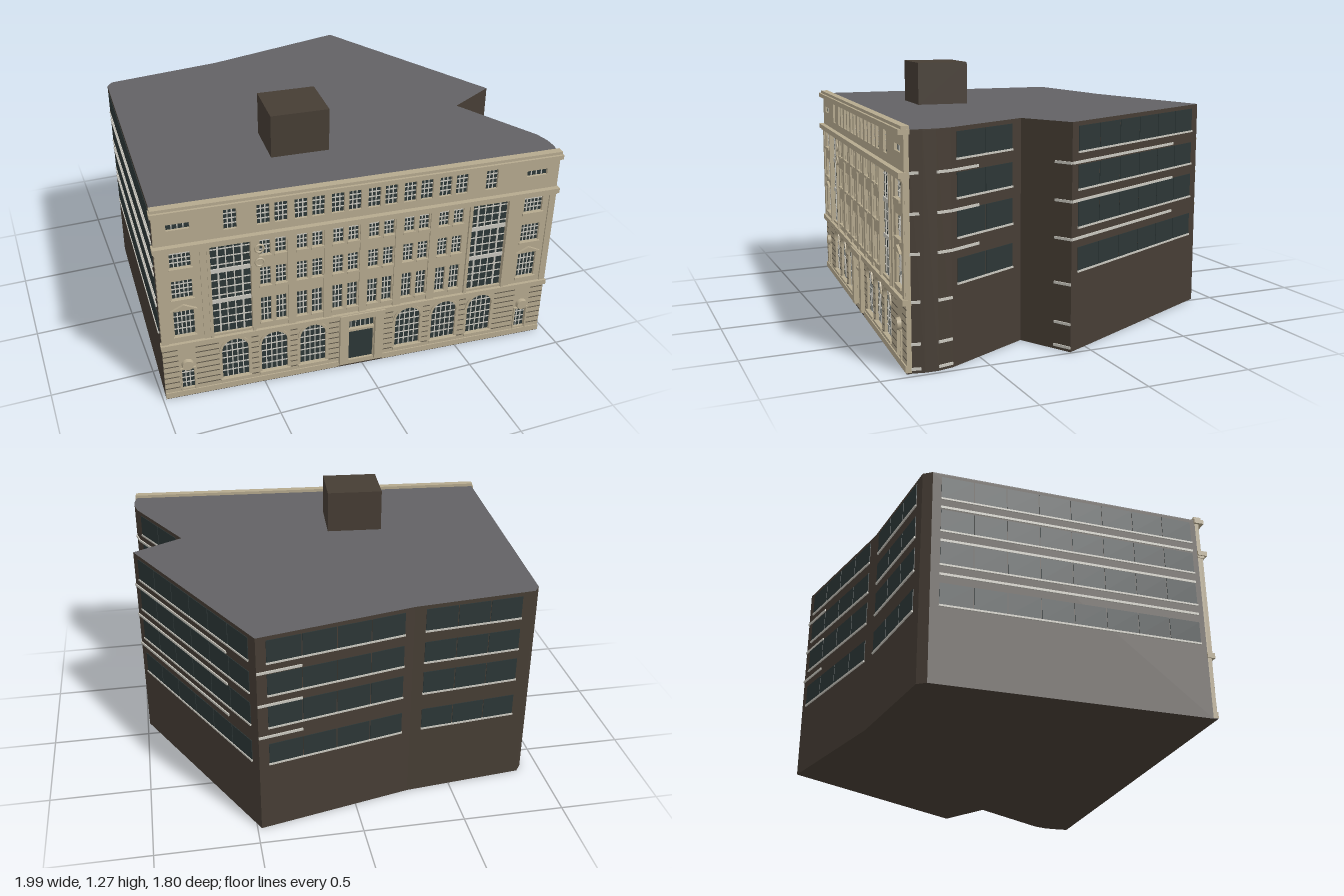
import * as THREE from 'three';
import { mergeGeometries } from 'three/addons/utils/BufferGeometryUtils.js';

const material = (name, color) => new THREE.MeshStandardMaterial({ name, color });

export function createModel() {
  const stone = material('pale stone', 0xb5a98e);
  const brick = material('dark brown wall', 0x463d34);
  const roofGrey = material('roof grey', 0x626164);
  const glass = material('dark glass', 0x2c3636);
  const light = material('light trim', 0xc8c6bd);
  const groove = material('groove shadow', 0x625b4d);

  const model = new THREE.Group();
  model.name = 'officeBuilding';

  // Pieces sharing a name are gathered and merged into one mesh
  const collector = (group) => {
    const parts = new Map();
    return {
      add(name, mat, geo) {
        if (!parts.has(name)) parts.set(name, { mat, geos: [] });
        parts.get(name).geos.push(geo.index ? geo.toNonIndexed() : geo);
      },
      box(name, mat, x0, x1, y0, y1, z0, z1) {
        this.add(name, mat, new THREE.BoxGeometry(x1 - x0, y1 - y0, z1 - z0)
          .translate((x0 + x1) / 2, (y0 + y1) / 2, (z0 + z1) / 2));
      },
      finish() {
        for (const [name, { mat, geos }] of parts) {
          const mesh = new THREE.Mesh(mergeGeometries(geos), mat);
          mesh.name = name;
          group.add(mesh);
        }
      },
    };
  };

  // ---------- Main block on an irregular plot ----------
  const plan = [[-0.983, 0.70], [0.962, 0.85], [0.975, 0.79], [0.976, 0.73], [0.96, 0.66],
    [0.74, 0.235], [0.99, 0.10], [0.48, -0.895], [-0.28, -0.73], [-0.88, -0.67], [-0.91, -0.63]];
  const footprint = new THREE.Shape(plan.map(([x, z]) => new THREE.Vector2(x, -z)));
  const slab = (y, depth) => new THREE.ExtrudeGeometry(footprint, { depth, bevelEnabled: false })
    .rotateX(-Math.PI / 2).translate(0, y, 0);
  const block = new THREE.Mesh(slab(0, 1.045), brick);
  block.name = 'mainBlock';
  const roof = new THREE.Mesh(slab(1.045, 0.005), [roofGrey, brick]);
  roof.name = 'roof';
  const penthouse = new THREE.Mesh(new THREE.BoxGeometry(0.285, 0.217, 0.262), brick);
  penthouse.name = 'roofPlantRoom';
  penthouse.position.set(-0.186, 1.157, 0.31);
  penthouse.rotation.y = -0.0764;
  model.add(block, roof, penthouse);

  // ---------- Side and rear walls ----------
  const sides = collector(model);
  // Plate on wall edge i between fractions t0 and t1 of its length
  const plate = (name, mat, i, t0, t1, y0, y1, out) => {
    const [ax, az] = plan[i], [bx, bz] = plan[(i + 1) % plan.length];
    const dx = bx - ax, dz = bz - az, t = (t0 + t1) / 2;
    sides.add(name, mat, new THREE.BoxGeometry(Math.hypot(dx, dz) * (t1 - t0), y1 - y0, out * 2)
      .rotateY(-Math.atan2(dz, dx)).translate(ax + dx * t, (y0 + y1) / 2, az + dz * t));
  };
  const rows = [[0.37, 0.48], [0.572, 0.69], [0.745, 0.855], [0.915, 1.03]];
  const upperBands = [0.523, 0.695, 0.868], lowerBands = [0.02, 0.13, 0.315];
  const glazed = [
    { edge: 4, from: 0.07, to: 0.87, panes: 2 },
    { edge: 6, from: 0.04, to: 0.95, panes: 6 },
    { edge: 7, from: 0.06, to: 0.94, panes: 4 },
    { edge: 8, from: 0.09, to: 0.90, panes: 3 },
    { edge: 10, from: 0.03, to: 0.98, panes: 8 },
  ];
  for (const { edge, from, to, panes } of glazed) {
    for (const [y0, y1] of rows) {
      const step = (to - from) / panes;
      for (let k = 0; k < panes; k++) {
        const t = from + k * step;
        plate('sideWindows', glass, edge, t + step * 0.015, t + step * 0.985, y0, y1, 0.003);
      }
      plate('sideSills', light, edge, from, to, y0 - 0.006, y0 + 0.003, 0.007);
    }
  }
  // Light string courses: [edge, start, end, also on the lower storeys]
  const courses = [[1, 0, 0.7, true], [3, 0, 1, true], [4, 0, 0.37, false], [5, 0.68, 1, true],
    [6, 0, 0.78, false], [7, 0, 0.28, false], [10, 0.03, 0.98, false]];
  for (const [edge, t0, t1, low] of courses) {
    for (const y of low ? [...lowerBands, ...upperBands] : upperBands) {
      plate('sideCourses', light, edge, t0, t1, y - 0.006, y + 0.006, 0.006);
    }
  }
  sides.finish();

  // ---------- Stone front, local z = 0 is its face ----------
  const front = new THREE.Group();
  front.name = 'stoneFront';
  front.position.set(-0.01, 0, 0.795);
  front.rotation.y = -0.0764;
  model.add(front);
  const f = collector(front);
  const W = 0.977, T = 0.022;
  const wall = new THREE.Shape([[-W, 0.005], [W, 0.005], [W, 1.04], [-W, 1.04]]
    .map(([x, y]) => new THREE.Vector2(x, y)));

  // Opening cut in the wall, glazed and divided by light bars
  const opening = (x, w, y0, y1, cols, lines, arched = false) => {
    const hole = new THREE.Path(), a = x - w / 2, b = x + w / 2, r = w / 2;
    hole.moveTo(a, y0);
    hole.lineTo(b, y0);
    if (arched) hole.absarc(x, y1 - r, r, 0, Math.PI, false);
    else hole.lineTo(b, y1).lineTo(a, y1);
    hole.lineTo(a, y0);
    wall.holes.push(hole);
    f.box('frontGlass', glass, a, b, y0, y1, -0.018, -0.013);
    const bar = 0.0025;
    for (let k = 1; k < cols; k++) {
      const u = a + (w * k) / cols;
      const top = arched ? y1 - r + Math.sqrt(r * r - (u - x) ** 2) : y1;
      f.box('glazingBars', light, u - bar, u + bar, y0, top, -0.014, -0.010);
    }
    for (let k = 1; k < lines; k++) {
      const v = y0 + ((y1 - y0) * k) / lines;
      const half = arched && v > y1 - r ? Math.sqrt(r * r - (v - y1 + r) ** 2) : r;
      f.box('glazingBars', light, x - half, x + half, v - bar, v + bar, -0.014, -0.010);
    }
  };
  const surround = (x, w, y0, y1, t, out) => {
    for (const s of [-1, 1]) {
      const c = x + s * (w + t) / 2;
      f.box('windowSurrounds', stone, c - t / 2, c + t / 2, y0, y1 + t, -0.002, out);
    }
    f.box('windowSurrounds', stone, x - w / 2, x + w / 2, y1, y1 + t, -0.002, out);
  };

  const floors = [[0.365, 0.505], [0.575, 0.675], [0.745, 0.84]];
  // Twelve central windows in pairs on each floor, with pilasters between
  for (let p = 0; p < 6; p++) {
    const c = (p - 2.5) * 0.175;
    for (const s of [-1, 1]) {
      opening(c + s * 0.041, 0.06, 0.91, 1.013, 3, 4);
      for (const [y0, y1] of floors) {
        opening(c + s * 0.037, 0.05, y0, y1, 3, 4);
        f.box('windowSills', stone, c + s * 0.037 - 0.03, c + s * 0.037 + 0.03, y0 - 0.012, y0, -0.01, 0.008);
      }
    }
    if (p) f.box('pilasters', stone, c - 0.107, c - 0.068, 0.33, 0.845, -0.002, 0.008);
  }
  for (const s of [-1, 1]) {
    // Tall three-storey windows
    opening(s * 0.637, 0.187, 0.34, 0.848, 5, 12);
    surround(s * 0.637, 0.187, 0.33, 0.848, 0.015, 0.012);
    for (const y of [0.52, 0.69]) {
      f.box('tallWindowSpandrels', light, s * 0.637 - 0.093, s * 0.637 + 0.093, y - 0.01, y + 0.01, -0.014, -0.006);
    }
    for (const k of [-0.3, 0.3]) {
      const u = s * 0.637 + k * 0.187;
      f.box('tallWindowMullions', light, u - 0.004, u + 0.004, 0.34, 0.848, -0.014, -0.008);
    }
    // End bays
    opening(s * 0.63, 0.06, 0.91, 1.013, 3, 4);
    opening(s * 0.864, 0.105, 0.947, 0.978, 4, 1);
    for (const [y0, y1] of floors) {
      opening(s * 0.864, 0.096, y0, y1, 5, 4);
      f.box('windowSills', stone, s * 0.864 - 0.055, s * 0.864 + 0.055, y0 - 0.012, y0, -0.01, 0.01);
    }
    const gable = new THREE.Shape();
    gable.moveTo(-0.062, 0).lineTo(0.062, 0).lineTo(0, 0.03);
    f.add('pediments', stone, new THREE.ExtrudeGeometry(gable, { depth: 0.014, bevelEnabled: false })
      .translate(s * 0.864, 0.515, -0.002));
    for (const u of [0.76, 0.96]) {
      f.box('pilasters', stone, s * u - 0.016, s * u + 0.016, 0.33, 0.845, -0.002, 0.007);
    }
    // Small ground-floor window with a round ornament
    opening(s * 0.864, 0.06, 0.045, 0.165, 3, 4);
    surround(s * 0.864, 0.06, 0.04, 0.165, 0.008, 0.008);
    f.add('roundOrnaments', stone, new THREE.CylinderGeometry(0.026, 0.03, 0.02, 20)
      .rotateX(Math.PI / 2).translate(s * 0.864, 0.193, 0.008));
    // Arched ground-floor windows
    for (const u of [0.245, 0.438, 0.631]) {
      const x = s * u;
      opening(x, 0.13, 0.063, 0.295, 5, 6, true);
      const ring = new THREE.Shape();
      ring.absarc(0, 0, 0.077, 0, Math.PI, false);
      ring.absarc(0, 0, 0.065, Math.PI, 0, true);
      f.add('archTrim', stone, new THREE.ExtrudeGeometry(ring, { depth: 0.008, bevelEnabled: false })
        .translate(x, 0.23, -0.002));
      f.box('windowSills', stone, x - 0.075, x + 0.075, 0.05, 0.063, -0.01, 0.01);
    }
  }

  // Entrance with a projecting surround
  opening(0, 0.132, 0.03, 0.295, 1, 1);
  f.box('entranceLintel', stone, -0.066, 0.066, 0.212, 0.225, -0.014, 0.006);
  for (let k = -2; k <= 2; k++) {
    f.box('glazingBars', light, k * 0.024 - 0.002, k * 0.024 + 0.002, 0.225, 0.295, -0.014, -0.01);
  }
  for (const s of [-1, 1]) {
    f.box('entrancePiers', stone, Math.min(s * 0.068, s * 0.112), Math.max(s * 0.068, s * 0.112), 0.025, 0.295, -0.002, 0.02);
  }
  f.box('entranceHood', stone, -0.116, 0.116, 0.293, 0.325, -0.002, 0.025);

  // Rustication grooves, broken at each opening
  const gaps = [-0.864, -0.631, -0.438, -0.245, 0, 0.245, 0.438, 0.631, 0.864];
  const halfGap = (x) => (x === 0 ? 0.113 : Math.abs(x) > 0.8 ? 0.042 : 0.079);
  for (let y = 0.06; y < 0.29; y += 0.032) {
    let start = -W;
    for (const g of [...gaps, null]) {
      const end = g === null ? W : g - halfGap(g);
      f.box('rusticationGrooves', groove, start, end, y - 0.0025, y + 0.0025, -0.001, 0.001);
      if (g !== null) start = g + halfGap(g);
    }
  }

  // Plinth, string courses and crowning cornice
  f.box('baseStrip', brick, -W, W, 0, 0.006, -T, 0.001);
  f.box('plinth', stone, -W, -0.115, 0.006, 0.036, -0.002, 0.006);
  f.box('plinth', stone, 0.115, W, 0.006, 0.036, -0.002, 0.006);
  f.box('lowerCourse', stone, -W - 0.006, W + 0.004, 0.302, 0.328, -T, 0.016);
  f.box('upperCourse', stone, -W - 0.01, W + 0.004, 0.848, 0.872, -T, 0.026);
  f.box('upperCourse', stone, -W - 0.004, W + 0.002, 0.836, 0.848, -T, 0.014);
  f.box('cornice', stone, -W - 0.01, W + 0.004, 1.03, 1.052, -0.025, 0.024);
  f.box('cornice', stone, -W - 0.005, W + 0.002, 1.052, 1.066, -0.025, 0.012);

  // Ring ornaments on the left-hand pilaster
  for (const y of [0.79, 0.715]) {
    f.add('ringOrnaments', stone, new THREE.TorusGeometry(0.02, 0.005, 8, 20).translate(-0.503, y, 0.012));
  }

  f.add('frontWall', stone, new THREE.ExtrudeGeometry(wall, { depth: T, bevelEnabled: false, curveSegments: 16 })
    .translate(0, 0, -T));
  f.finish();
  return model;
}
